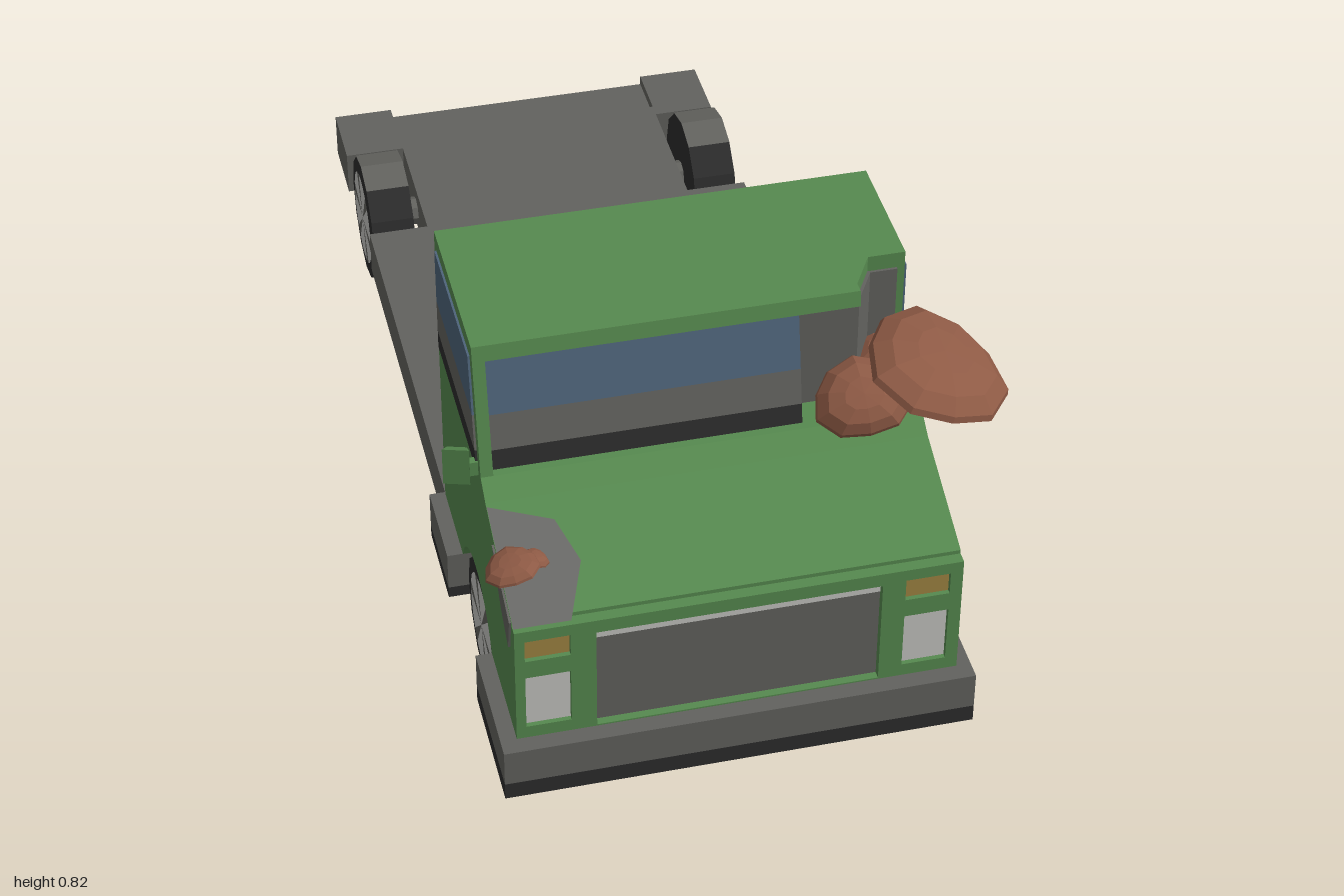
import * as THREE from 'three';

const mat = (name, color, extra = {}) => {
  const m = new THREE.MeshStandardMaterial({ color, ...extra });
  m.name = name;
  return m;
};

export function createModel() {
  const flat = { flatShading: true };
  const green = mat('green paint', 0x56894f, flat);
  const gray = mat('gray metal', 0x62625e, flat);
  const dark = mat('dark rubber', 0x2c2c2c, flat);
  const light = mat('light lamp', 0xc4c4c0, flat);
  const amber = mat('amber', 0x9e8441, flat);
  const brown = mat('mushroom brown', 0x8e5a45, { flatShading: true, side: THREE.DoubleSide });
  const glass = mat('blue glass', 0x4e647a, flat);
  const stemMat = mat('stem yellow', 0xb0924a, flat);
  const patchMat = mat('bare metal', 0x6a6a67, { side: THREE.DoubleSide });

  const truck = new THREE.Group();
  truck.name = 'truck';
  const add = (name, geo, m) => {
    const mesh = new THREE.Mesh(geo, m);
    mesh.name = name;
    truck.add(mesh);
    return mesh;
  };
  const box = (name, m, x0, x1, y0, y1, z0, z1) => {
    const mesh = add(name, new THREE.BoxGeometry(x1 - x0, y1 - y0, z1 - z0), m);
    mesh.position.set((x0 + x1) / 2, (y0 + y1) / 2, (z0 + z1) / 2);
    return mesh;
  };
  const poly = pts => new THREE.Shape(pts.map(p => new THREE.Vector2(p[0], p[1])));
  // Side profile in (z, y), extruded across x
  const acrossX = (name, m, shape, x0, x1) => {
    const g = new THREE.ExtrudeGeometry(shape, { depth: x1 - x0, bevelEnabled: false, curveSegments: 8 });
    return add(name, g.rotateY(-Math.PI / 2).translate(x1, 0, 0), m);
  };
  // Plan outline in (x, z), extruded upward
  const upward = (name, m, pts, y0, y1) => {
    const g = new THREE.ExtrudeGeometry(poly(pts.map(p => [p[0], -p[1]])), { depth: y1 - y0, bevelEnabled: false });
    return add(name, g.rotateX(-Math.PI / 2).translate(0, y0, 0), m);
  };

  const L = -0.453, R = 0.36, MID = (L + R) / 2;

  // Chassis: sunken bed between rails, narrow at the rear wheels
  box('chassisCore', gray, -0.33, 0.235, 0.095, 0.17, -1, 0.95);
  box('rightRail', gray, L, -0.32, 0.095, 0.19, -0.56, 0.3);
  box('leftRail', gray, 0.215, R, 0.095, 0.19, -0.56, 0.3);
  box('rearDeck', gray, -0.33, 0.235, 0.165, 0.19, -0.88, -0.54);
  box('frontCrossbar', gray, -0.33, 0.235, 0.165, 0.19, 0.27, 0.46);
  for (const [x0, x1] of [[L, -0.33], [0.235, R]]) {
    box('rearCorner', gray, x0, x1, 0.095, 0.19, -1, -0.85);
    box('tailLight', brown, x0 + 0.025, x1 - 0.025, 0.113, 0.172, -1.002, -0.99);
  }

  // Bumper and side steps with dark lower lips
  box('frontBumper', gray, -0.483, 0.387, 0.115, 0.19, 0.742, 1);
  box('bumperLip', dark, -0.483, 0.387, 0.08, 0.115, 0.742, 1);
  box('sideSteps', gray, -0.483, 0.387, 0.11, 0.19, 0.285, 0.466);
  box('stepLip', dark, -0.483, 0.387, 0.086, 0.11, 0.285, 0.466);
  box('innerArch', dark, -0.33, 0.235, 0.1, 0.285, 0.45, 0.75);

  // Lower cab with wheel arches and sloped hood
  const lower = new THREE.Shape();
  lower.moveTo(0.29, 0.19);
  lower.lineTo(0.4665, 0.19);
  lower.absarc(0.604, 0.13, 0.15, Math.PI - 0.4115, 0.4115, true);
  for (const [z, y] of [[0.945, 0.19], [0.945, 0.452], [0.73, 0.54], [0.69, 0.567], [0.29, 0.567]]) lower.lineTo(z, y);
  acrossX('lowerCab', green, lower, L, R);

  // Front panel with recessed grille and lamps
  const rect = (x0, x1, y0, y1) => [[x0, y0], [x1, y0], [x1, y1], [x0, y1]];
  const front = poly(rect(L, R, 0.19, 0.444));
  const cut = (x0, x1, y0, y1) => front.holes.push(poly(rect(x0, x1, y0, y1)));
  cut(-0.307, 0.212, 0.193, 0.416);
  box('grille', gray, -0.307, 0.212, 0.19, 0.392, 0.94, 0.952);
  box('grilleStrip', light, -0.307, 0.212, 0.392, 0.416, 0.94, 0.954);
  for (const x of [-0.435, 0.255]) {
    cut(x, x + 0.082, 0.216, 0.334);
    cut(x, x + 0.082, 0.373, 0.42);
    box('headlight', light, x, x + 0.082, 0.216, 0.334, 0.94, 0.958);
    box('turnSignal', amber, x, x + 0.082, 0.373, 0.42, 0.94, 0.958);
  }
  add('frontPanel', new THREE.ExtrudeGeometry(front, { depth: 0.022, bevelEnabled: false }).translate(0, 0, 0.945), green);

  // Upper cab, its front left corner broken away
  upward('upperCab', green, [[L, 0.29], [R, 0.29], [R, 0.545], [0.29, 0.545], [0.25, 0.615], [L, 0.615]], 0.567, 0.82);
  upward('brokenCorner', gray,
    [[0.14, 0.5], [0.345, 0.5], [0.345, 0.55], [0.294, 0.55], [0.254, 0.62], [0.14, 0.62]], 0.567, 0.788);

  // Windshield frame and banded glass
  const slope = y => 0.69 - (y - 0.567) * 0.21;
  const strip = (y0, y1, z, inset) => poly([[z, y0], [slope(y0) - inset, y0], [slope(y1) - inset, y1], [z, y1]]);
  acrossX('windshieldTop', green, strip(0.79, 0.82, 0.61, 0), L, 0.25);
  acrossX('windshieldPost', green, strip(0.567, 0.82, 0.61, 0), L, -0.43);
  const bands = [[0.568, 0.606, dark], [0.606, 0.675, gray], [0.675, 0.79, glass]];
  for (const [y0, y1, m] of bands) {
    acrossX('windshield', m, strip(y0, y1, 0.61, 0.015), -0.43, 0.14);
    acrossX('rightWindow', m, strip(y0, y1, 0.31, 0.022), L - 0.004, L + 0.001);
    box('leftWindow', m, R - 0.001, R + 0.004, y0, y1, 0.31, 0.543);
  }

  // Wing mirror
  box('mirrorArm', green, -0.468, -0.45, 0.555, 0.585, 0.652, 0.668);
  const mirror = add('mirror', new THREE.CylinderGeometry(0.036, 0.026, 0.022, 4, 1).rotateY(Math.PI / 4).rotateX(Math.PI / 2), green);
  mirror.scale.set(0.95, 1.55, 1);
  mirror.position.set(-0.49, 0.585, 0.662);
  mirror.rotation.y = -0.3;

  // Wheels: twelve-sided tyres with spoked hub discs and short axles
  const makeWheel = (x, z, side) => {
    const wheel = new THREE.Group();
    wheel.name = 'wheel';
    const part = (name, geo, m) => {
      const mesh = new THREE.Mesh(geo, m);
      mesh.name = name;
      wheel.add(mesh);
    };
    part('tyre', new THREE.CylinderGeometry(0.132, 0.132, 0.09, 12).rotateZ(Math.PI / 2), dark);
    part('treadTop', new THREE.CylinderGeometry(0.1335, 0.1335, 0.09, 2, 1, true, -Math.PI / 6, Math.PI / 3)
      .rotateY(Math.PI / 2).rotateZ(Math.PI / 2), gray);
    part('axle', new THREE.CylinderGeometry(0.03, 0.03, 0.06, 8).rotateZ(Math.PI / 2).translate(-side * 0.06, 0, 0), gray);
    const disc = new THREE.CircleGeometry(0.1, 24).rotateY(side * Math.PI / 2).translate(side * 0.047, 0, 0);
    for (let i = 0; i < 24; i++) disc.addGroup(i * 3, 3, i % 4 === 3 ? 1 : 0);
    part('hub', disc, [light, gray]);
    wheel.position.set(x, 0.132, z);
    truck.add(wheel);
  };
  for (const z of [0.604, -0.7]) {
    makeWheel(MID - 0.353, z, -1);
    makeWheel(MID + 0.347, z, 1);
  }

  // Bare torn metal on the right hood corner
  const patch = new THREE.ShapeGeometry(poly([[-0.453, 0.74], [-0.34, 0.78], [-0.31, 0.86], [-0.35, 0.962], [-0.453, 0.962]]));
  const p = patch.attributes.position;
  for (let i = 0; i < p.count; i++) {
    const z = p.getY(i);
    p.setXYZ(i, p.getX(i), 0.452 + (0.945 - z) * 0.41 + 0.005, z);
  }
  patch.computeVertexNormals();
  add('hoodPatch', patch, patchMat);
  acrossX('sidePatch', gray, poly([[0.8, 0.505], [0.87, 0.42], [0.93, 0.38], [0.945, 0.45]]), L - 0.004, L);

  // Mushrooms: domed caps tilted along a normal, on bent stems
  const mushroom = (name, c, n, rx, rz, h, root) => {
    const profile = [[0.001, 0.25], [0.55, 0.12], [1, 0], [0.97, 0.25], [0.75, 0.7], [0.4, 0.95], [0.001, 1]];
    const cap = new THREE.LatheGeometry(profile.map(q => new THREE.Vector2(q[0], q[1])), 10);
    const v = cap.attributes.position;
    for (let i = 0; i < v.count; i++) {
      const wob = 1 + 0.07 * Math.sin(3 * Math.atan2(v.getZ(i), v.getX(i)));
      v.setXYZ(i, v.getX(i) * rx * wob, v.getY(i) * h, v.getZ(i) * rz * wob);
    }
    const mesh = add(name + 'Cap', cap, brown);
    mesh.position.set(...c);
    const up = new THREE.Vector3(...n).normalize();
    mesh.quaternion.setFromUnitVectors(new THREE.Vector3(0, 1, 0), up);
    const top = new THREE.Vector3(...c).addScaledVector(up, h * 0.4), base = new THREE.Vector3(...root);
    const bend = new THREE.Vector3(top.x, (top.y + base.y) / 2 - 0.01, top.z).lerp(base, 0.2);
    const r = Math.min(0.014, rx * 0.14);
    add(name + 'Stem', new THREE.TubeGeometry(new THREE.QuadraticBezierCurve3(base, bend, top), 6, r, 6), stemMat);
  };
  mushroom('large', [0.38, 0.655, 0.685], [0.31, 0.95, 0.17], 0.135, 0.14, 0.05, [0.31, 0.56, 0.62]);
  mushroom('front', [0.24, 0.63, 0.705], [-0.1, 0.75, 0.6], 0.09, 0.075, 0.045, [0.26, 0.56, 0.64]);
  mushroom('side', [0.39, 0.605, 0.585], [0.6, 0.76, -0.1], 0.06, 0.085, 0.03, [0.33, 0.56, 0.58]);
  mushroom('inner', [0.31, 0.62, 0.585], [-0.2, 0.95, 0.1], 0.05, 0.055, 0.03, [0.31, 0.56, 0.59]);
  mushroom('tiny', [-0.435, 0.507, 0.868], [-0.2, 0.97, 0.1], 0.05, 0.045, 0.02, [-0.42, 0.45, 0.87]);
  mushroom('tinySide', [-0.39, 0.502, 0.85], [0.3, 0.95, 0], 0.025, 0.025, 0.013, [-0.41, 0.45, 0.86]);

  return truck;
}
